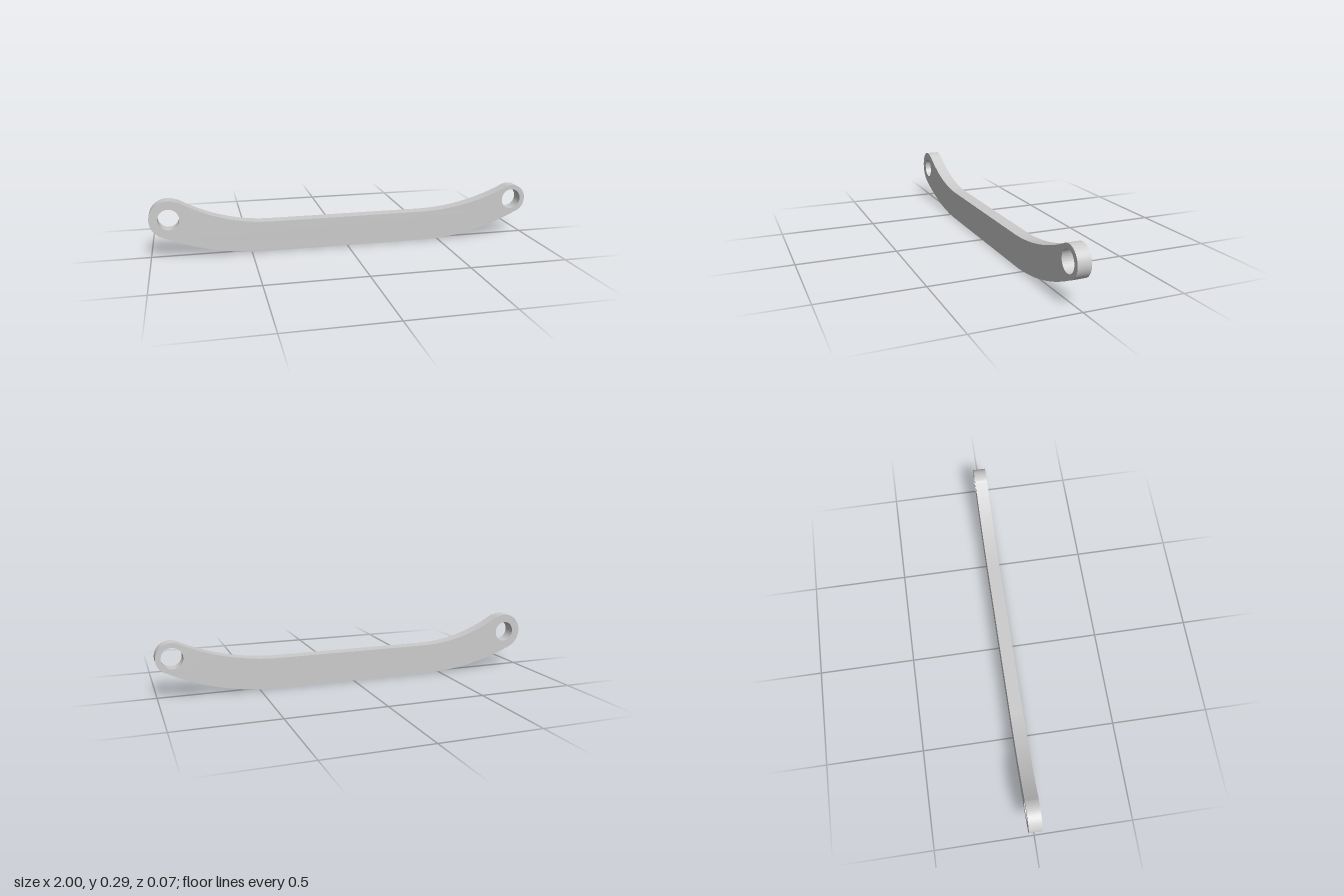
import * as THREE from 'three';

const THICKNESS = 0.066;
const HOLE_RADIUS = 0.053;

export function createModel() {
  const group = new THREE.Group();
  group.name = 'linkBar';

  const shape = new THREE.Shape();
  // Arc given in degrees, joined to the previous one by a straight line
  const arc = (x, y, r, from, to) => shape.absarc(
    x, y, r, THREE.MathUtils.degToRad(from), THREE.MathUtils.degToRad(to), to < from);

  // Outline, counter-clockwise from the left end of the underside
  arc(-0.42, 1.30, 1.30, 246.4, 270);      // underside rising to the right arm
  arc(0.42, 1.17, 1.17, 270, 297);         // underside rising to the left arm
  arc(0.923, 0.198, 0.077, -63, 115);      // small eye
  arc(0.40, 1.304, 1.147, -65, -90);       // upper edge, left arm
  arc(-0.40, 1.031, 0.874, -90, -121.5);   // upper edge, right arm
  arc(-0.904, 0.198, 0.096, 58.5, 246.4);  // large eye
  shape.closePath();

  // Pin holes through both eyes
  for (const x of [-0.905, 0.921]) {
    const hole = new THREE.Path();
    hole.absarc(x, 0.198, HOLE_RADIUS, 0, Math.PI * 2, true);
    shape.holes.push(hole);
  }

  const geometry = new THREE.ExtrudeGeometry(shape, {
    depth: THICKNESS, bevelEnabled: false, curveSegments: 16,
  });
  geometry.translate(0, 0, -THICKNESS / 2);

  const bar = new THREE.Mesh(geometry, new THREE.MeshStandardMaterial({ color: 0xcccccc }));
  bar.name = 'curvedBar';
  group.add(bar);
  return group;
}
